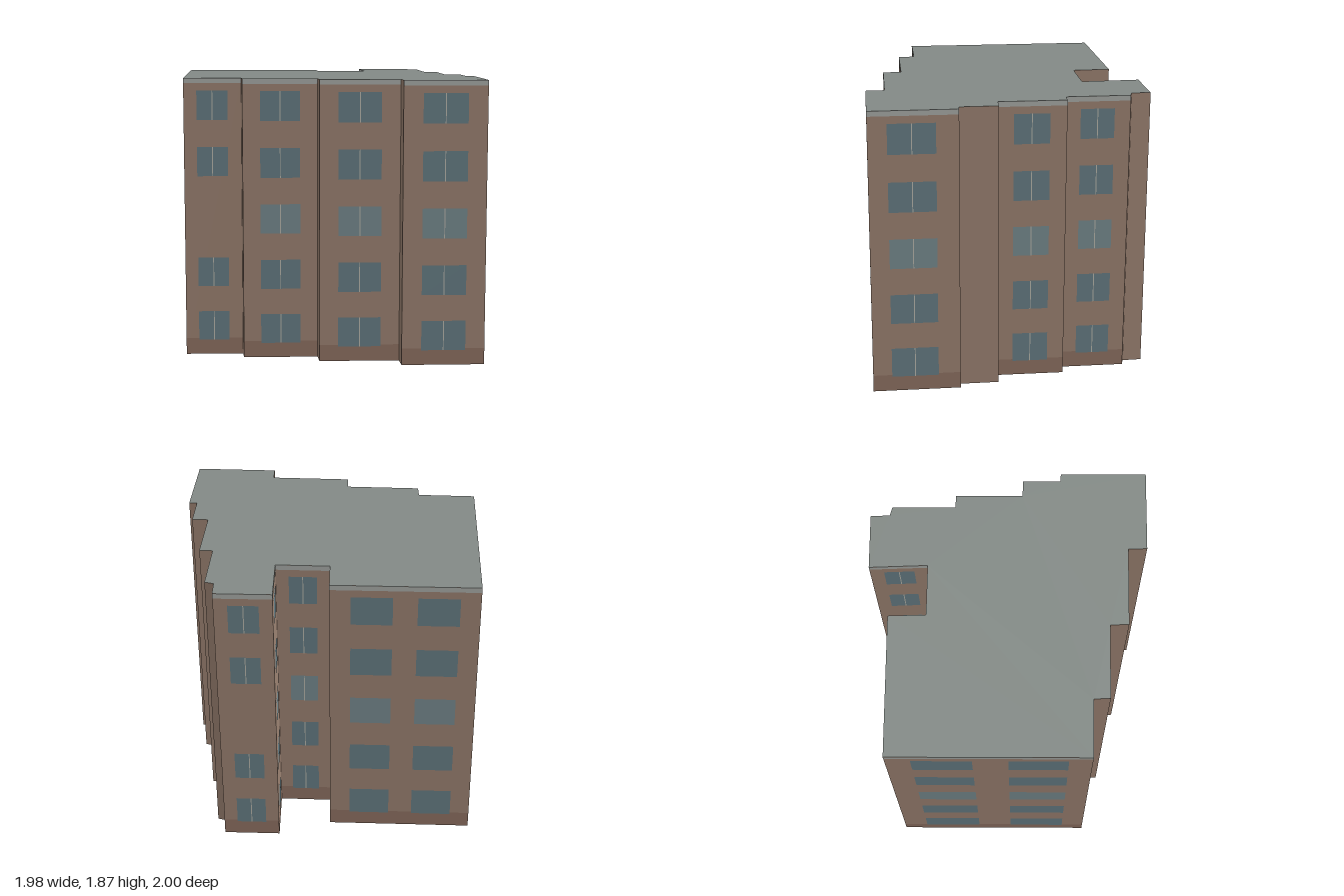
import * as THREE from 'three';

const HEIGHT = 1.87;
const ROWS = [0.098, 0.468, 0.842, 1.216, 1.591]; // window sill heights
const WINDOW_H = 0.197;

// Each corner of the footprint [x, z], with the windows of the wall that starts there.
// spans: start and end of each window as a fraction of the wall; no spans = plain wall.
const one = [[0.235, 0.768]];
const side = [[0.23, 0.755]];
const WALLS = [
  { at: [-0.987, 0.29], spans: [[0.225, 0.762]], skipMiddle: true },
  { at: [-0.61, 0.36] },
  { at: [-0.622, 0.467], spans: one },
  { at: [-0.135, 0.557] },
  { at: [-0.15, 0.678], spans: one },
  { at: [0.372, 0.775] },
  { at: [0.355, 0.897], spans: one },
  { at: [0.893, 0.995], spans: [[0.216, 0.748]] },
  { at: [0.987, 0.435] },
  { at: [0.935, 0.422] },
  { at: [0.975, 0.177] },
  { at: [0.87, 0.155], spans: side },
  { at: [0.945, -0.28] },
  { at: [0.86, -0.298], spans: side },
  { at: [0.93, -0.71] },
  { at: [0.875, -0.735] },
  { at: [0.89, -0.86], spans: [[0.24, 0.765]], skipMiddle: true },
  { at: [0.525, -0.92], spans: [[0.24, 0.76]] },
  { at: [0.475, -0.54], spans: [[0.24, 0.76]] },
  { at: [0.133, -0.6] },
  { at: [0.167, -0.845], spans: [[0.14, 0.42], [0.585, 0.865]], plainGlass: true },
  { at: [-0.765, -1.0], spans: [[0.124, 0.42], [0.595, 0.885]], plainGlass: true },
];

const paint = (color) => new THREE.MeshStandardMaterial({ color });
const paintBothSides = (color) => new THREE.MeshStandardMaterial({ color, side: THREE.DoubleSide });

export function createModel() {
  const model = new THREE.Group();
  model.name = 'apartmentBlock';
  const mats = {
    wall: paintBothSides(0x9d8373),
    roof: paintBothSides(0x838a86),
    plinth: paint(0x8f7263),
    trim: paint(0xa9aca8),
    glass: paint(0x677e86),
    paleGlass: paint(0x788c91),
    mullion: paint(0xb9b8ae),
  };

  // Flat roof; the shell below it is open at the ground
  const outline = new THREE.Shape(WALLS.map(({ at: [x, z] }) => new THREE.Vector2(x, -z)));
  const roof = new THREE.Mesh(new THREE.ShapeGeometry(outline).rotateX(-Math.PI / 2), mats.roof);
  roof.position.y = HEIGHT;
  roof.name = 'roof';
  model.add(roof);

  // Flat panel on a facade: x along the wall, y up, z outward
  const panel = (parent, name, x0, x1, y0, y1, z, material) => {
    const mesh = new THREE.Mesh(new THREE.PlaneGeometry(x1 - x0, y1 - y0), material);
    mesh.position.set((x0 + x1) / 2, (y0 + y1) / 2, z);
    mesh.name = name;
    parent.add(mesh);
  };

  WALLS.forEach(({ at: [x, z], spans = [], skipMiddle, plainGlass }, i) => {
    const [nx, nz] = WALLS[(i + 1) % WALLS.length].at;
    const length = Math.hypot(nx - x, nz - z);
    const facade = new THREE.Group();
    facade.name = 'facade';
    facade.position.set(x, 0, z);
    facade.rotation.y = Math.atan2(z - nz, nx - x);
    model.add(facade);
    panel(facade, 'wall', 0, length, 0, HEIGHT, 0, mats.wall);

    // Base course and roof edge strip, on the walls with windows
    if (spans.length) {
      panel(facade, 'plinth', 0, length, 0, 0.11, 0.001, mats.plinth);
      panel(facade, 'roofTrim', 0, length, 1.836, HEIGHT, 0.001, mats.trim);
    }

    // Windows, split by a thin mullion on most walls
    ROWS.forEach((y, row) => {
      if (row === 2 && skipMiddle) return;
      for (const [a, b] of spans) {
        const x0 = a * length, x1 = b * length, mid = (x0 + x1) / 2;
        const glass = row === 2 ? mats.paleGlass : mats.glass;
        panel(facade, 'window', x0, x1, y, y + WINDOW_H, 0.002, glass);
        if (!plainGlass) {
          panel(facade, 'mullion', mid - 0.003, mid + 0.003, y, y + WINDOW_H, 0.003, mats.mullion);
        }
      }
    });
  });

  return model;
}
